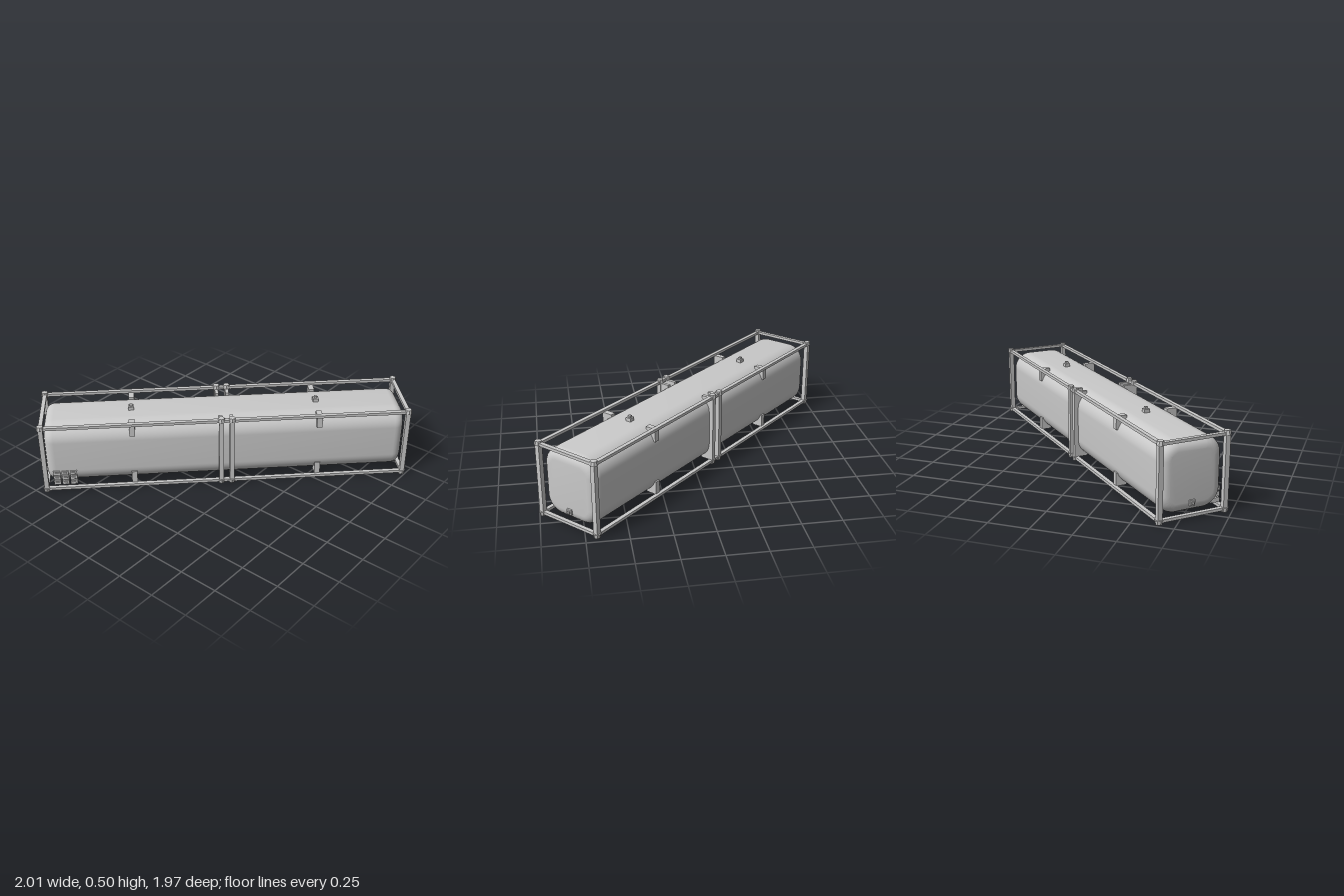
import * as THREE from 'three';
import { toCreasedNormals } from 'three/addons/utils/BufferGeometryUtils.js';

// Tank container: length along local x, width along local z, turned about y at the end
const HALF_LEN = 1.159, HALF_WID = 0.211, MID_POST = 0.034, MID_Y = 0.255;

export function createModel() {
  const root = new THREE.Group();
  root.name = 'tankContainer';
  const grey = new THREE.MeshStandardMaterial({ color: 0xcacaca });
  grey.name = 'light grey';

  const add = (name, geo, x = 0, y = 0, z = 0) => {
    const mesh = new THREE.Mesh(geo, grey);
    mesh.name = name;
    mesh.position.set(x, y, z);
    root.add(mesh);
    return mesh;
  };
  const box = (name, w, h, d, x, y, z) => add(name, new THREE.BoxGeometry(w, h, d), x, y, z);

  // Tank: rounded-square section with rounded ends
  const bevel = 0.06, w = 0.2 - bevel, h = 0.215 - bevel, r = 0.115 - bevel;
  const section = new THREE.Shape();
  section.absarc(w - r, h - r, r, 0, Math.PI / 2);
  section.absarc(r - w, h - r, r, Math.PI / 2, Math.PI);
  section.absarc(r - w, r - h, r, Math.PI, Math.PI * 1.5);
  section.absarc(w - r, r - h, r, Math.PI * 1.5, Math.PI * 2);
  const length = 2 * (1.15 - bevel);
  const tank = new THREE.ExtrudeGeometry(section, {
    depth: length, bevelEnabled: true, bevelSize: bevel, bevelThickness: bevel,
    bevelSegments: 6, curveSegments: 8,
  });
  tank.translate(0, 0, -length / 2).rotateY(Math.PI / 2);
  add('tank', toCreasedNormals(tank, 0.6), 0, MID_Y, 0);

  // Corner and middle posts with octagonal end castings
  const cap = new THREE.CylinderGeometry(0.02, 0.025, 0.026, 8).toNonIndexed();
  cap.computeVertexNormals();
  for (const x of [-HALF_LEN, -MID_POST, MID_POST, HALF_LEN]) {
    for (const z of [-HALF_WID, HALF_WID]) {
      box('post', 0.03, 0.46, 0.03, x, MID_Y, z);
      add('upperPostCap', cap, x, 0.486, z);
      add('lowerPostCap', cap, x, 0.024, z).rotation.x = Math.PI;
    }
  }

  // Long and short frame rails
  for (const y of [0.03, 0.48]) {
    for (const s of [-1, 1]) {
      box('sideRail', 2 * HALF_LEN, 0.018, 0.026, 0, y, s * HALF_WID);
      box('endRail', 0.026, 0.018, 2 * HALF_WID, s * HALF_LEN, y, 0);
    }
  }

  // Gussets joining the rails to the tank's rounded edges
  const gussetShape = new THREE.Shape([
    [0.205, 0.22], [0.135, 0.22], [0.135, 0.18], [0.185, 0.135], [0.205, 0.135],
  ].map(([a, b]) => new THREE.Vector2(a, b)));
  const gusset = (x, width) => {
    const geo = new THREE.ExtrudeGeometry(gussetShape, { depth: width, bevelEnabled: false });
    geo.translate(0, 0, -width / 2).rotateY(-Math.PI / 2);
    for (const turnY of [0, Math.PI]) {
      for (const turnX of [0, Math.PI]) {
        const mesh = add('gusset', geo, x, MID_Y, 0);
        mesh.rotation.set(turnX, turnY, 0);
      }
    }
  };
  for (const s of [-1, 1]) {
    gusset(s * 0.595, 0.036);
    gusset(s * MID_POST, 0.022);
  }

  // Square hatches with a raised cover on top and underneath, and an outlet on each end
  for (const s of [-1, 1]) {
    for (const side of [-1, 1]) {
      box('hatch', 0.036, 0.024, 0.036, s * 0.597, MID_Y + side * 0.225, 0);
      box('hatchCover', 0.018, 0.03, 0.018, s * 0.597, MID_Y + side * 0.235, 0);
    }
    box('endOutlet', 0.016, 0.034, 0.034, s * 1.153, 0.1, 0);
    box('outletCover', 0.022, 0.016, 0.016, s * 1.157, 0.1, 0);
  }

  // Three by three bank of small control boxes
  for (let col = 0; col < 3; col++) {
    for (let row = 0; row < 3; row++) {
      const x = -1.089 + col * 0.053, y = 0.065 + row * 0.036;
      box('controlBox', 0.044, 0.028, 0.055, x, y, 0.18);
      box('controlFace', 0.022, 0.014, 0.008, x, y, 0.21);
    }
  }

  root.rotation.y = THREE.MathUtils.degToRad(44.2);
  const model = new THREE.Group();
  model.name = 'model';
  model.add(root);
  return model;
}
